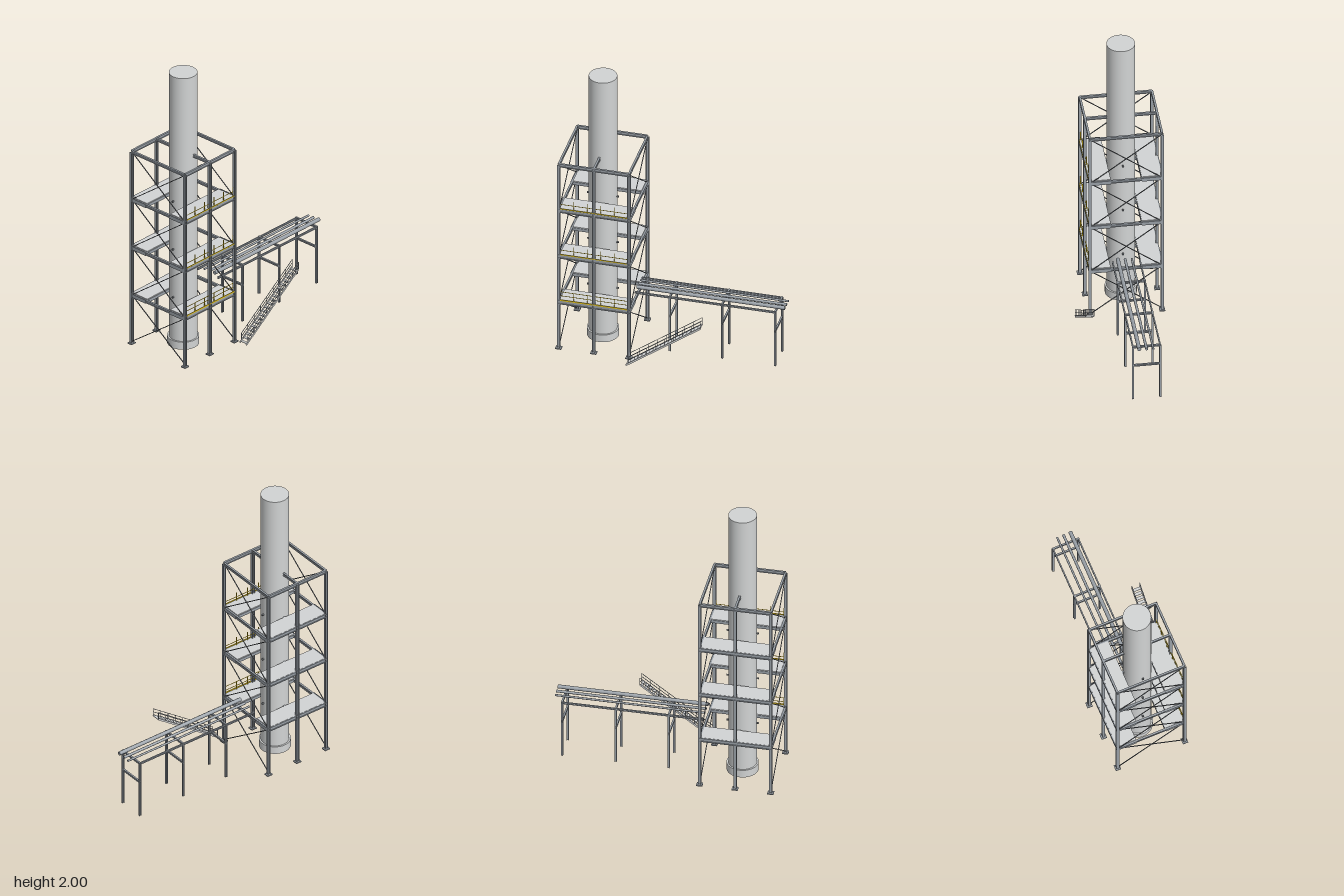
import * as THREE from 'three';

const mat = (name, color) => {
  const m = new THREE.MeshStandardMaterial({ color });
  m.name = name;
  return m;
};

export function createModel() {
  const model = new THREE.Group();
  model.name = 'stackTower';
  const steel = mat('structural steel', 0x989fa6);
  const dark = mat('bracing steel', 0x6c7176);
  const shell = mat('stack grey', 0xd2d4d4);
  const grating = mat('platform grey', 0xd2d4d5);
  const yellow = mat('safety yellow', 0xf0cc1c);
  const V = (x, y, z) => new THREE.Vector3(x, y, z);

  const group = (name) => {
    const g = new THREE.Group();
    g.name = name;
    model.add(g);
    return g;
  };
  const add = (parent, name, geo, material, p) => {
    const m = new THREE.Mesh(geo, material);
    m.name = name;
    m.position.copy(p);
    parent.add(m);
    return m;
  };
  const box = (parent, name, material, w, h, d, x, y, z) =>
    add(parent, name, new THREE.BoxGeometry(w, h, d), material, V(x, y, z));

  // Square bar between two points
  const bar = (parent, name, material, a, b, w, h = w) => {
    const m = add(parent, name, new THREE.BoxGeometry(w, h, a.distanceTo(b)), material, a.clone().lerp(b, 0.5));
    m.lookAt(b);
  };

  // I-section member between two points
  const iBeam = (parent, name, a, b, w, h, roll = 0) => {
    const f = h * 0.18, t = w * 0.13, s = new THREE.Shape();
    const half = [[w / 2, -h / 2], [w / 2, -h / 2 + f], [t, -h / 2 + f], [t, h / 2 - f], [w / 2, h / 2 - f], [w / 2, h / 2]];
    const pts = [...half, ...half.map(([x, y]) => [-x, -y])];
    s.setFromPoints(pts.map(([x, y]) => new THREE.Vector2(x, y)));
    const geo = new THREE.ExtrudeGeometry(s, { depth: a.distanceTo(b), bevelEnabled: false });
    const m = add(parent, name, geo, steel, a);
    m.lookAt(b);
    m.rotateZ(roll);
  };

  // Chimney stack with foundation ring
  const CX = -0.49, CZ = -0.04;
  const stack = group('stack');
  add(stack, 'stackShell', new THREE.CylinderGeometry(0.093, 0.093, 1.96, 64), shell, V(CX, 1.02, CZ));
  add(stack, 'stackBase', new THREE.CylinderGeometry(0.104, 0.104, 0.055, 64), shell, V(CX, 0.036, CZ));

  // Tower columns and base plates
  const xs = [-0.725, CX, -0.255], zs = [-0.277, 0.195];
  const [x0, , x1] = xs, [z0, z1] = zs;
  const tower = group('tower');
  for (const x of xs) for (const z of zs) {
    iBeam(tower, 'column', V(x, 0.01, z), V(x, 1.415, z), 0.019, 0.02, Math.PI / 2);
    box(tower, 'basePlate', steel, 0.04, 0.008, 0.036, x, 0.009, z);
  }

  // Beams at each level, with short ties to the stack
  const levels = [0.362, 0.714, 1.067, 1.417];
  levels.forEach((y, i) => {
    const h = i < 3 ? 0.028 : 0.024;
    for (const z of zs) iBeam(tower, 'longBeam', V(x0, y, z), V(x1, y, z), 0.014, h);
    for (const x of [x0, x1]) iBeam(tower, 'sideBeam', V(x, y, z0), V(x, y, z1), 0.014, 0.02);
    iBeam(tower, 'rearTie', V(CX, y, z0), V(CX, y, CZ - 0.09), 0.014, 0.02);
    iBeam(tower, 'frontTie', V(CX, y, z1), V(CX, y, CZ + 0.09), 0.014, 0.02);
    // Cross bracing on the two sides
    const low = i ? levels[i - 1] : 0.02;
    for (const x of [x0, x1]) {
      bar(tower, 'brace', dark, V(x - 0.002, low, z0), V(x - 0.002, y, z1), 0.005);
      bar(tower, 'brace', dark, V(x + 0.002, low, z1), V(x + 0.002, y, z0), 0.005);
    }
  });

  // Platforms with joists, guard rails and stack nozzles
  levels.slice(0, 3).forEach((y, level) => {
    const platform = group('platform');
    const top = y + 0.016;
    for (const [a, b] of [[z0, -0.145], [0.06, z1]]) {
      box(platform, 'deck', grating, x1 - x0 - 0.01, 0.005, b - a, CX, top - 0.003, (a + b) / 2);
      for (let i = 1; i <= 6; i++)
        box(platform, 'joist', steel, x1 - x0 - 0.01, 0.022, 0.006, CX, top - 0.017, a + (b - a) * i / 6 - (a > 0 ? (b - a) / 6 : 0));
      for (const s of [-1, 1])
        box(platform, 'endPlate', steel, 0.003, 0.026, b - a, CX + s * 0.2425, y, (a + b) / 2);
    }
    const rail = group('guardRail');
    const rx0 = CX - 0.225, rx1 = CX + 0.225, rz = z1 - 0.004;
    for (const h of level ? [0.03] : [0.03, 0.06])
      bar(rail, 'rail', yellow, V(rx0, top + h, rz), V(rx1, top + h, rz), 0.003);
    bar(rail, 'toePlate', yellow, V(rx0, top + 0.002, z1 + 0.006), V(rx1, top + 0.002, z1 + 0.006), 0.003, level ? 0.007 : 0.01);
    for (let i = 0; i <= 5; i++) {
      const x = rx0 + 0.09 * i;
      bar(rail, 'railPost', yellow, V(x, top, rz), V(x, top + 0.062, rz), 0.004);
    }
    for (const s of [-1, 1]) {
      const n = add(stack, 'nozzle', new THREE.CylinderGeometry(0.006, 0.006, 0.02, 16), dark, V(CX + s * 0.096, top, CZ));
      n.rotation.z = Math.PI / 2;
    }
  });

  // Pipe rack: portal frames, longitudinal beams and pipes
  const rack = group('pipeRack');
  const rz = [-0.131, 0.047];
  for (const x of [-0.02, 0.33, 0.685]) {
    for (const z of rz) iBeam(rack, 'rackPost', V(x, 0.008, z), V(x, 0.422, z), 0.013, 0.013, Math.PI / 2);
    for (const y of [0.275, 0.422])
      iBeam(rack, 'rackCrossBeam', V(x, y, rz[0] - 0.006), V(x, y, rz[1] + 0.006), 0.012, 0.014);
  }
  for (const z of rz) iBeam(rack, 'rackLongBeam', V(x1, 0.42, z), V(0.685, 0.42, z), 0.009, 0.014);
  for (const [z, r] of [[-0.078, 0.007], [-0.034, 0.009], [0.014, 0.013]]) {
    const p = add(rack, 'pipe', new THREE.CylinderGeometry(r, r, 0.993, 24), steel, V(0.2465, 0.43 + r, z));
    p.rotation.z = Math.PI / 2;
  }

  // Stairway with treads and handrails
  const stair = group('stairway');
  const sx0 = -0.25, sx1 = 0.248, sy0 = 0.013, sy1 = 0.375;
  const at = (t, h, z) => V(sx0 + (sx1 - sx0) * t, sy0 + (sy1 - sy0) * t + h, z);
  for (const z of [0.238, 0.293]) {
    bar(stair, 'stringer', grating, at(0, 0, z), at(1, 0, z), 0.004, 0.012);
    for (const h of [0.028, 0.052]) bar(stair, 'handrail', steel, at(0.03, h, z), at(1, h, z), 0.003);
    for (let i = 0; i <= 8; i++) {
      const t = 0.03 + 0.97 * i / 8;
      bar(stair, 'handrailPost', steel, at(t, 0, z), at(t, 0.053, z), 0.003);
    }
  }
  for (let i = 0; i < 20; i++) {
    const p = at((i + 0.5) / 20, 0, 0.2655);
    box(stair, 'tread', grating, 0.02, 0.004, 0.053, p.x, p.y, p.z);
  }

  return model;
}
